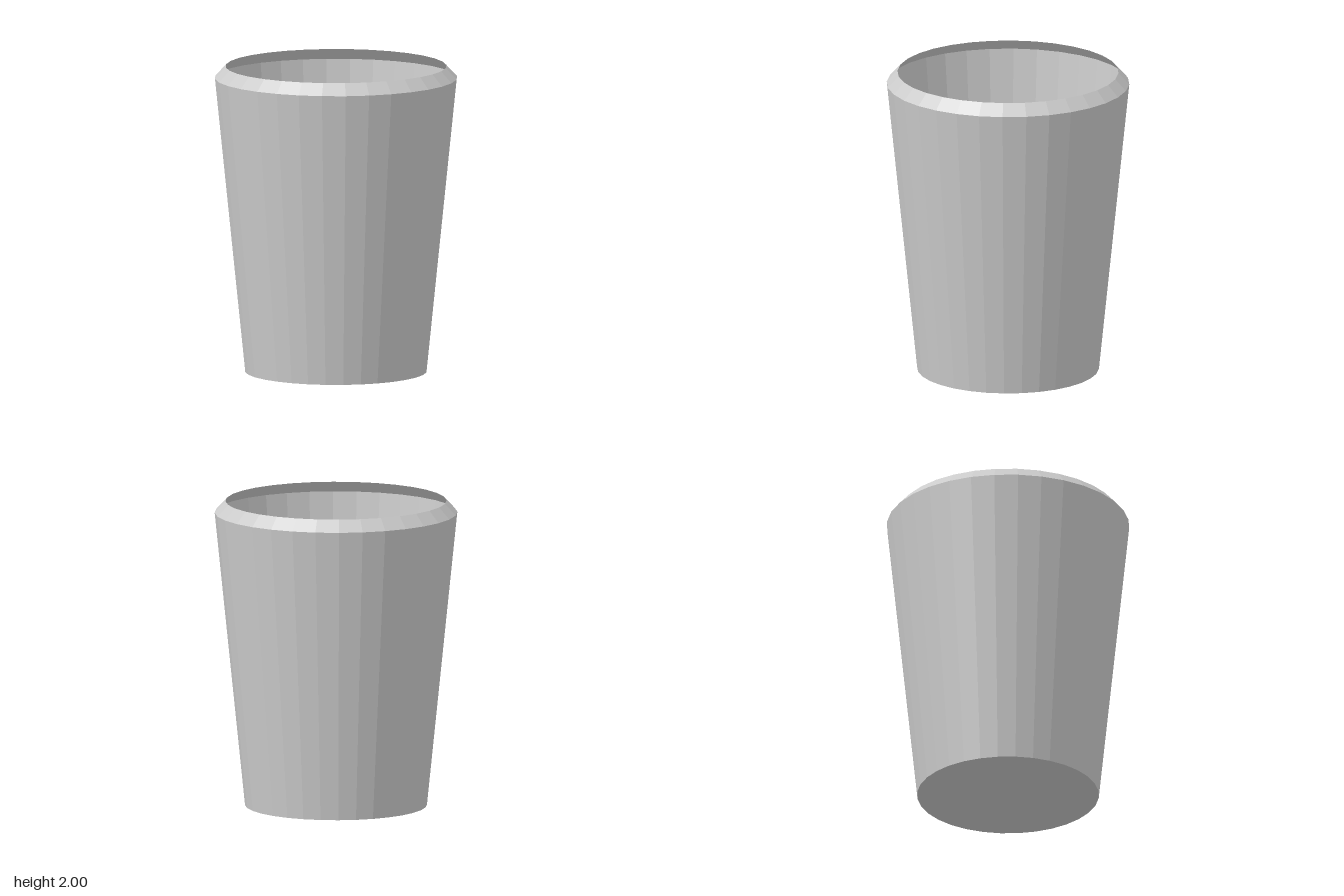
import * as THREE from 'three';

const SIDES = 32;
const BASE_RADIUS = 0.59, LIP_RADIUS = 0.787, RIM_RADIUS = 0.717;
const LIP_HEIGHT = 1.925, HEIGHT = 2;

export function createModel() {
  const cup = new THREE.Group();
  cup.name = 'cup';

  // Thin, open surfaces, so both sides show
  const material = new THREE.MeshStandardMaterial({
    color: 0xcccccc, flatShading: true, side: THREE.DoubleSide,
  });

  const addPart = (name, geometry) => {
    const mesh = new THREE.Mesh(geometry, material);
    mesh.name = name;
    cup.add(mesh);
  };

  // Open faceted band between two heights
  const band = (r0, y0, r1, y1) => new THREE.LatheGeometry(
    [new THREE.Vector2(r0, y0), new THREE.Vector2(r1, y1)], SIDES);

  // Tapered wall, widening upwards
  addPart('wall', band(BASE_RADIUS, 0, LIP_RADIUS, LIP_HEIGHT));

  // Inward-sloping rim around the opening
  addPart('rim', band(LIP_RADIUS, LIP_HEIGHT, RIM_RADIUS, HEIGHT));

  // Flat base, also the inside floor
  addPart('base', new THREE.CircleGeometry(BASE_RADIUS, SIDES).rotateX(Math.PI / 2));

  return cup;
}
